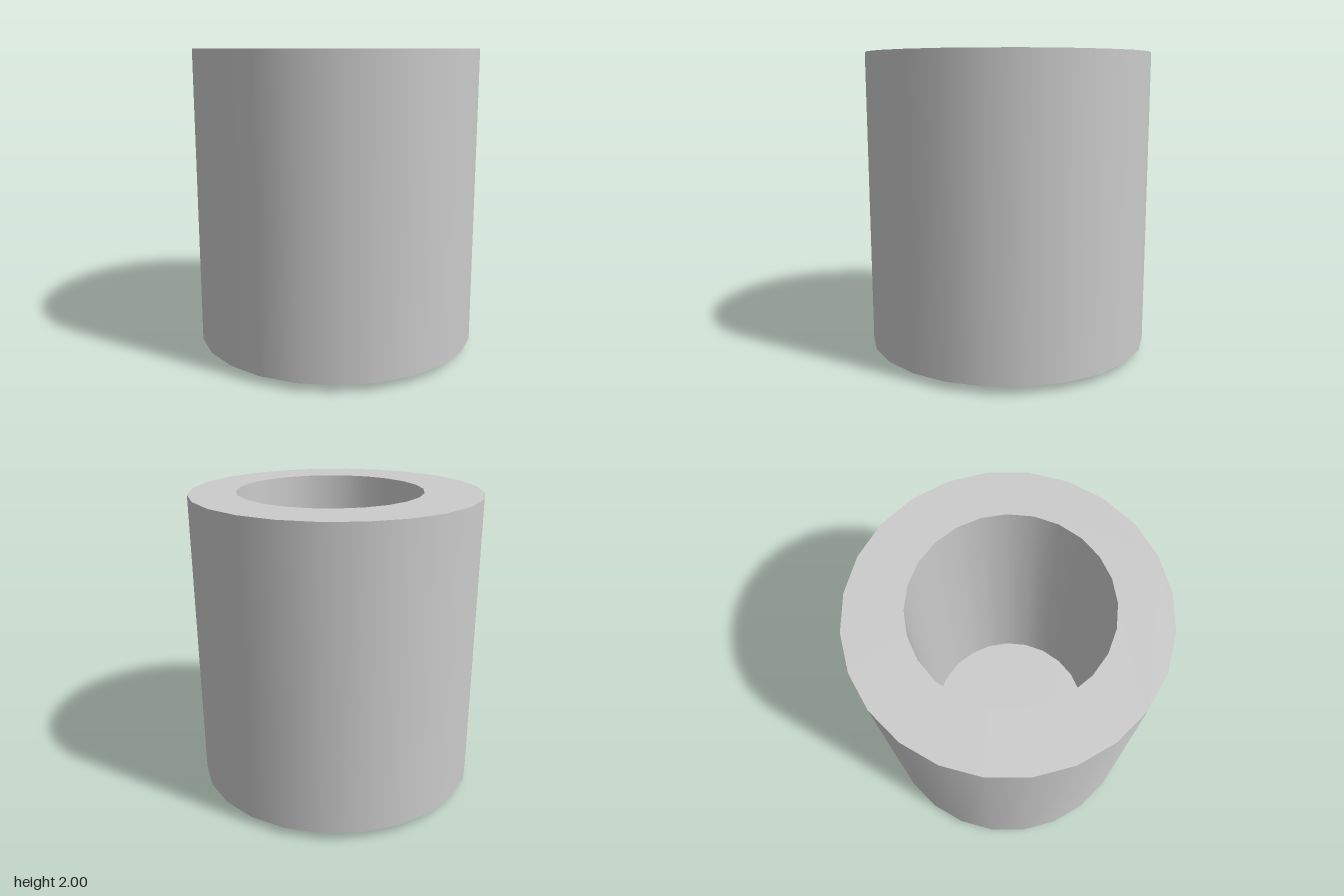
import * as THREE from 'three';

const SIDES = 24;
const OUTER = { r: 0.943, x: 0, z: 0, turn: -0.012 };
const BORE = { r: 0.605, x: 0.01, z: 0.04, turn: 0.082 };
const TOP = 2, UNDERSIDE = 0.05, FLOOR = 0;

// corners of a ring in plan; flip mirrors z for faces that look up
function corners({ r, x, z, turn }, flip) {
  return Array.from({ length: SIDES }, (_, i) => {
    const a = turn + (i / SIDES) * Math.PI * 2;
    return new THREE.Vector2(x + r * Math.cos(a), flip * (z + r * Math.sin(a)));
  });
}

// flat face at height y, facing up (1) or down (-1), with an optional hole
function face(ring, y, up, hole) {
  const shape = new THREE.Shape(corners(ring, -up));
  if (hole) shape.holes.push(new THREE.Path(corners(hole, -up)));
  return new THREE.ShapeGeometry(shape).rotateX((-up * Math.PI) / 2).translate(0, y, 0);
}

// smooth open wall between two heights
function wall({ r, x, z, turn }, y0, y1) {
  return new THREE.CylinderGeometry(r, r, y1 - y0, SIDES, 1, true, -turn)
    .translate(x, (y0 + y1) / 2, z);
}

export function createModel() {
  const group = new THREE.Group();
  const material = new THREE.MeshStandardMaterial({ color: 0xcccccc, side: THREE.DoubleSide });
  const add = (name, geometry) => {
    const mesh = new THREE.Mesh(geometry, material);
    mesh.name = name;
    group.add(mesh);
  };

  // thick body
  add('outerWall', wall(OUTER, UNDERSIDE, TOP));
  add('topRim', face(OUTER, TOP, 1, BORE));
  add('underside', face(OUTER, UNDERSIDE, -1, BORE));

  // off-centre bore, reaching below the body to form the foot
  add('boreWall', wall(BORE, FLOOR, TOP));
  add('boreFloor', face(BORE, FLOOR, -1));

  return group;
}
